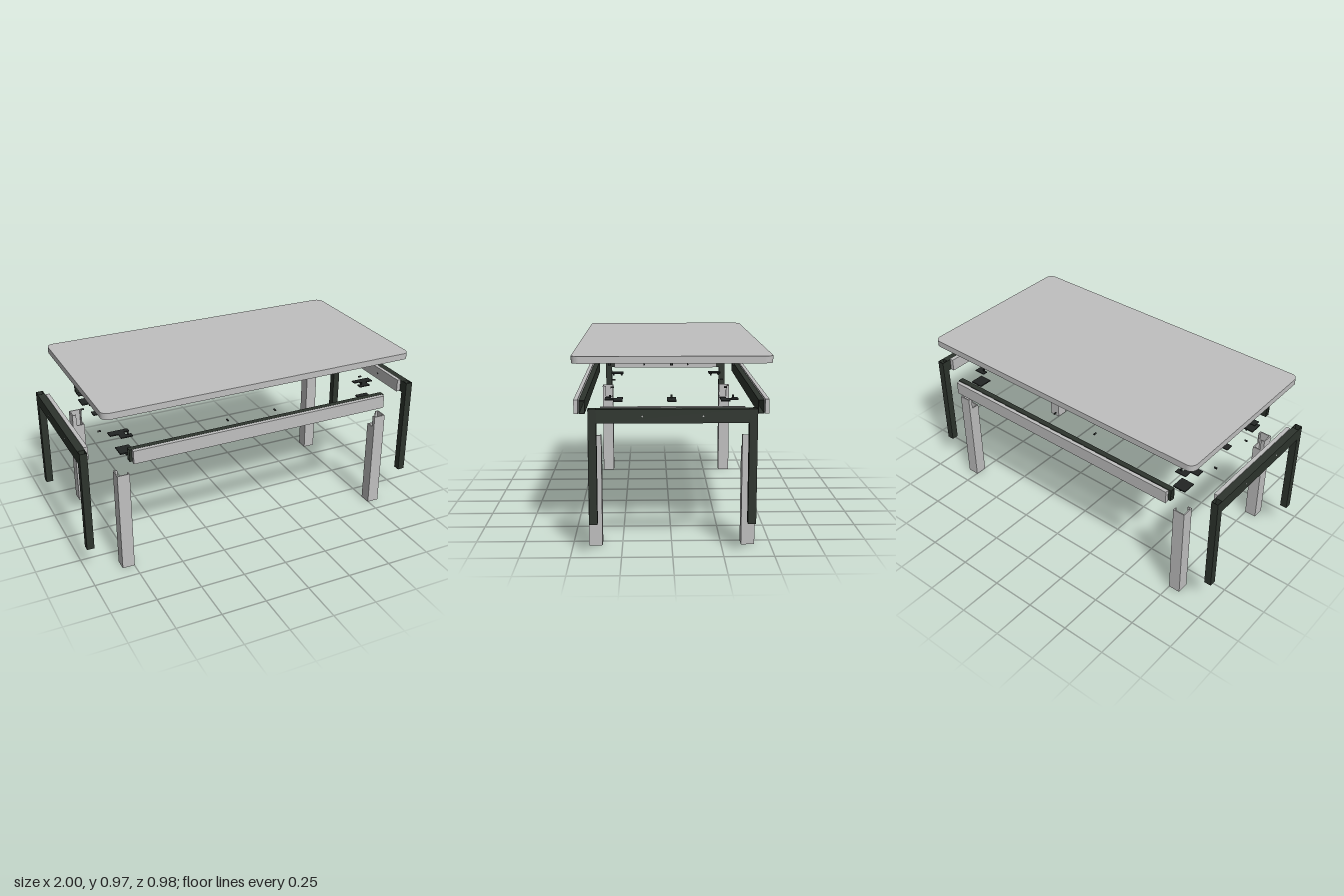
import * as THREE from 'three';

const light = new THREE.MeshStandardMaterial({ color: 0xc0c0c0 });
light.name = 'light grey';
const dark = new THREE.MeshStandardMaterial({ color: 0x2d342d });
dark.name = 'dark green grey';
const metal = new THREE.MeshStandardMaterial({ color: 0x222524 });
metal.name = 'black metal';

function add(parent, name, geometry, material, x = 0, y = 0, z = 0) {
  const mesh = new THREE.Mesh(geometry, material);
  mesh.name = name;
  mesh.position.set(x, y, z);
  parent.add(mesh);
  return mesh;
}

const box = (w, h, d) => new THREE.BoxGeometry(w, h, d);

const polygon = (pts) => new THREE.Shape(pts.map(([x, y]) => new THREE.Vector2(x, y)));

// Extrudes a plan drawn in (x, -z) upwards along y
function extrudeUp(shape, height) {
  const g = new THREE.ExtrudeGeometry(shape, { depth: height, bevelEnabled: false, curveSegments: 10 });
  return g.rotateX(-Math.PI / 2);
}

function rectPoints(w, d) {
  return [[-w / 2, -d / 2], [w / 2, -d / 2], [w / 2, d / 2], [-w / 2, d / 2]];
}

// Hollow rectangular section
function ring(w, d, wall) {
  const s = polygon(rectPoints(w, d));
  s.holes.push(polygon(rectPoints(w - 2 * wall, d - 2 * wall)));
  return s;
}

function roundedRect(w, d, r) {
  const s = new THREE.Shape();
  const x = w / 2, y = d / 2;
  s.moveTo(-x + r, -y);
  s.lineTo(x - r, -y);
  s.absarc(x - r, -y + r, r, -Math.PI / 2, 0);
  s.lineTo(x, y - r);
  s.absarc(x - r, y - r, r, 0, Math.PI / 2);
  s.lineTo(-x + r, y);
  s.absarc(-x + r, y - r, r, Math.PI / 2, Math.PI);
  s.lineTo(-x, -y + r);
  s.absarc(-x + r, -y + r, r, Math.PI, Math.PI * 1.5);
  return s;
}

const pin = (r, h) => new THREE.CylinderGeometry(r, r, h, 12);

// Leg sleeve at +x +z: hollow tube whose inner corner is notched at the top
function legSleeve() {
  const g = new THREE.Group();
  const w = 0.068, a = w / 2, t = 0.006, stub = 0.022;
  add(g, 'sleeveTube', extrudeUp(ring(w, w, t), 0.5), light);
  const c = polygon([
    [a, -a], [a, a], [a - stub, a], [a - stub, a - t], [a - t, a - t], [a - t, -a + t],
    [-a + t, -a + t], [-a + t, -a + stub], [-a, -a + stub], [-a, -a],
  ]);
  add(g, 'sleeveNotchedTop', extrudeUp(c, 0.07), light, 0, 0.5, 0);
  return g;
}

// Corner fittings drawn for the +x +z corner
function cornerFittings() {
  const g = new THREE.Group();
  // L-shaped top plate
  const plate = polygon([[0.69, -0.335], [0.755, -0.335], [0.755, -0.29], [0.8, -0.29], [0.8, -0.245], [0.69, -0.245],
    [0.69, -0.275], [0.72, -0.275], [0.72, -0.305], [0.69, -0.305]]);
  add(g, 'topPlate', extrudeUp(plate, 0.005), metal, 0, 0.735, 0);
  // Lower clamp plate with two bolts
  add(g, 'clampPlate', box(0.075, 0.007, 0.078), metal, 0.735, 0.66, 0.319);
  for (const [x, z] of [[0.725, 0.293], [0.735, 0.345]]) {
    add(g, 'boltHead', new THREE.CylinderGeometry(0.009, 0.009, 0.006, 6), metal, x, 0.654, z);
    add(g, 'boltShank', pin(0.005, 0.012), metal, x, 0.648, z);
  }
  return g;
}

export function createModel() {
  const model = new THREE.Group();
  model.name = 'explodedTable';

  add(model, 'tableTop', extrudeUp(roundedRect(1.79, 0.98, 0.04), 0.035), light, 0, 0.938, 0);

  for (const sx of [1, -1]) {
    // End frame: two open tubes joined by a beam
    const frame = new THREE.Group();
    frame.name = 'endFrame';
    model.add(frame);
    for (const sz of [1, -1]) {
      add(frame, 'frameLeg', extrudeUp(ring(0.04, 0.04, 0.003), 0.57), dark, sx * 0.98, 0.165, sz * 0.385);
      for (const [x, m] of [[1.0, light], [0.938, metal]]) {
        add(frame, 'screwHole', pin(0.004, 0.002), m, sx * x, 0.7, sz * 0.145).rotation.z = Math.PI / 2;
      }
    }
    add(frame, 'frameBeam', box(0.04, 0.068, 0.73), dark, sx * 0.98, 0.7, 0);
    add(frame, 'endCover', box(0.022, 0.072, 0.695), light, sx * 0.949, 0.702, 0);

    // Middle plate and the rows of pins above it
    add(model, 'middlePlate', box(0.11, 0.005, 0.045), metal, sx * 0.745, 0.737, 0);
    for (const z of [-0.31, 0, 0.31]) {
      add(model, 'topInsert', pin(0.007, 0.02), metal, sx * 0.71, 0.914, z);
      add(model, 'topBolt', pin(0.005, 0.022), metal, sx * 0.71, 0.744, z);
      add(model, 'topBoltHead', pin(0.008, 0.005), metal, sx * 0.71, 0.734, z);
    }
  }

  for (const sz of [1, -1]) {
    // Long rail tube with its outer cover
    const tube = extrudeUp(ring(0.068, 0.03, 0.003), 1.52).rotateZ(Math.PI / 2);
    add(model, 'longRail', tube, dark, 0.76, 0.701, sz * 0.45);
    add(model, 'longCover', box(1.495, 0.073, 0.021), light, 0, 0.701, sz * 0.481);

    for (const sx of [1, -1]) {
      // Screws for the long rail and for the end frame
      add(model, 'railScrew', pin(0.005, 0.018), metal, sx * 0.145, 0.703, sz * 0.32).rotation.x = Math.PI / 2;
      add(model, 'frameScrew', pin(0.005, 0.016), metal, sx * 0.812, 0.703, sz * 0.145).rotation.z = Math.PI / 2;

      // Leg sleeve turned so the notch faces the table centre
      const leg = legSleeve();
      leg.name = 'legSleeve';
      leg.position.set(sx * 0.782, 0, sz * 0.385);
      leg.scale.set(sx, 1, sz);
      model.add(leg);

      const fittings = cornerFittings();
      fittings.name = 'cornerFittings';
      fittings.scale.set(sx, 1, sz);
      model.add(fittings);
    }
  }
  return model;
}
